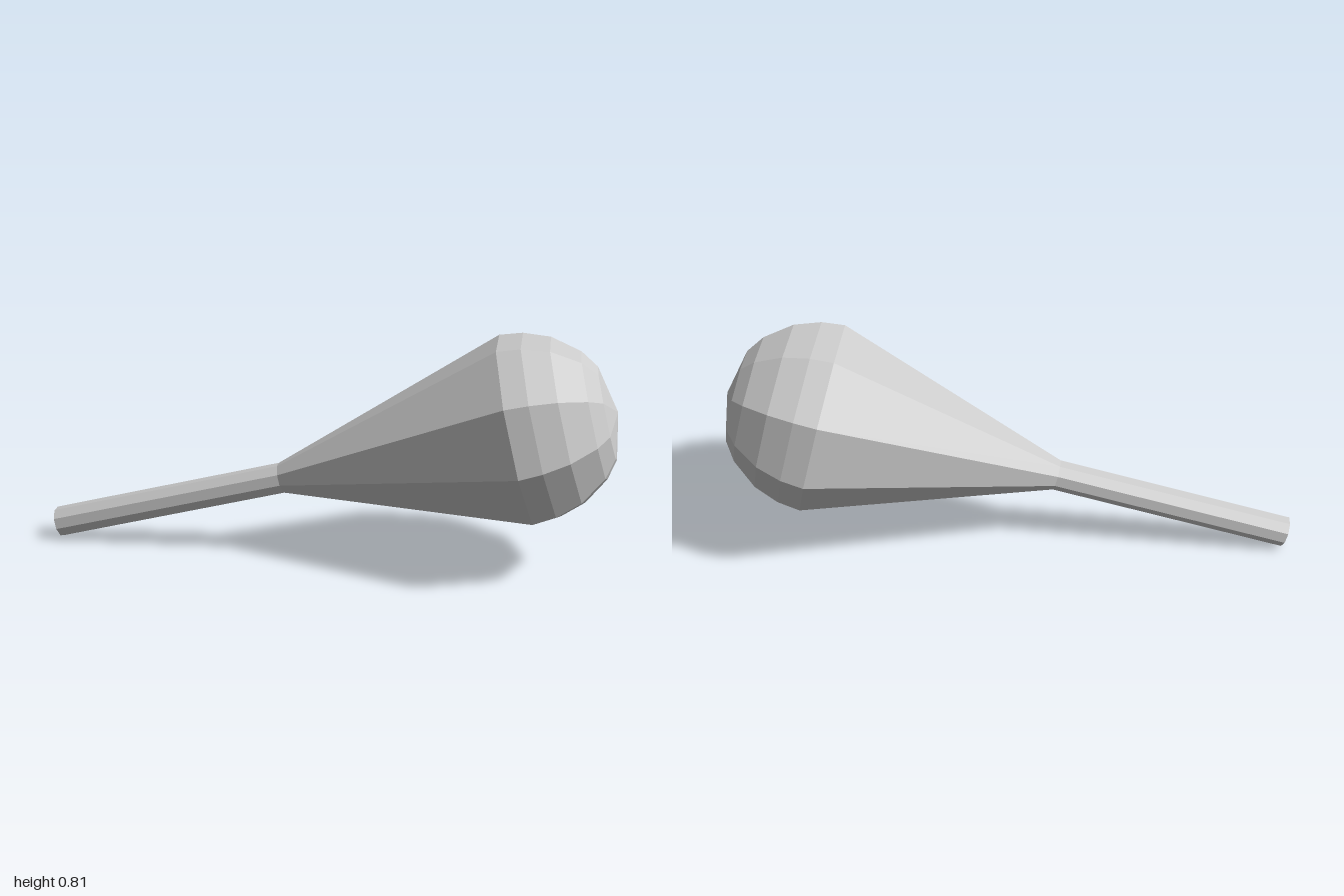
import * as THREE from 'three';

const SIDES = 9;

export function createModel() {
  const group = new THREE.Group();
  group.name = 'club';
  const material = new THREE.MeshStandardMaterial({ color: 0xcccccc, flatShading: true });

  // Club axis runs from the handle end up to the tip of the head
  const start = new THREE.Vector3(-0.985, 0.058, 0.04);
  const tip = new THREE.Vector3(0.993, 0.578, -0.006);
  const length = start.distanceTo(tip);
  const axis = tip.clone().sub(start).normalize();

  // One corner of the nine-sided section points straight down
  const down = new THREE.Vector3(0, -1, 0).projectOnPlane(axis).normalize();
  const side = new THREE.Vector3().crossVectors(axis, down);
  const club = new THREE.Group();
  club.name = 'clubBody';
  club.quaternion.setFromRotationMatrix(new THREE.Matrix4().makeBasis(side, axis, down));
  club.position.copy(start);
  group.add(club);

  // Profiles are [radius, distance along the axis]
  function addTurned(name, profile) {
    const points = profile.map(([r, s]) => new THREE.Vector2(r, s));
    const mesh = new THREE.Mesh(new THREE.LatheGeometry(points, SIDES), material);
    mesh.name = name;
    club.add(mesh);
  }

  // Straight handle with a closed flat end
  const neck = 0.858;
  addTurned('handle', [[0, 0], [0.055, 0], [0.055, neck]]);

  // Head flares from the neck and closes in a rounded dome
  addTurned('head', [
    [0.055, neck],
    [0.338, length - 0.34],
    [0.328, length - 0.26],
    [0.295, length - 0.17],
    [0.226, length - 0.08],
    [0.164, length - 0.036],
    [0, length],
  ]);

  return group;
}
